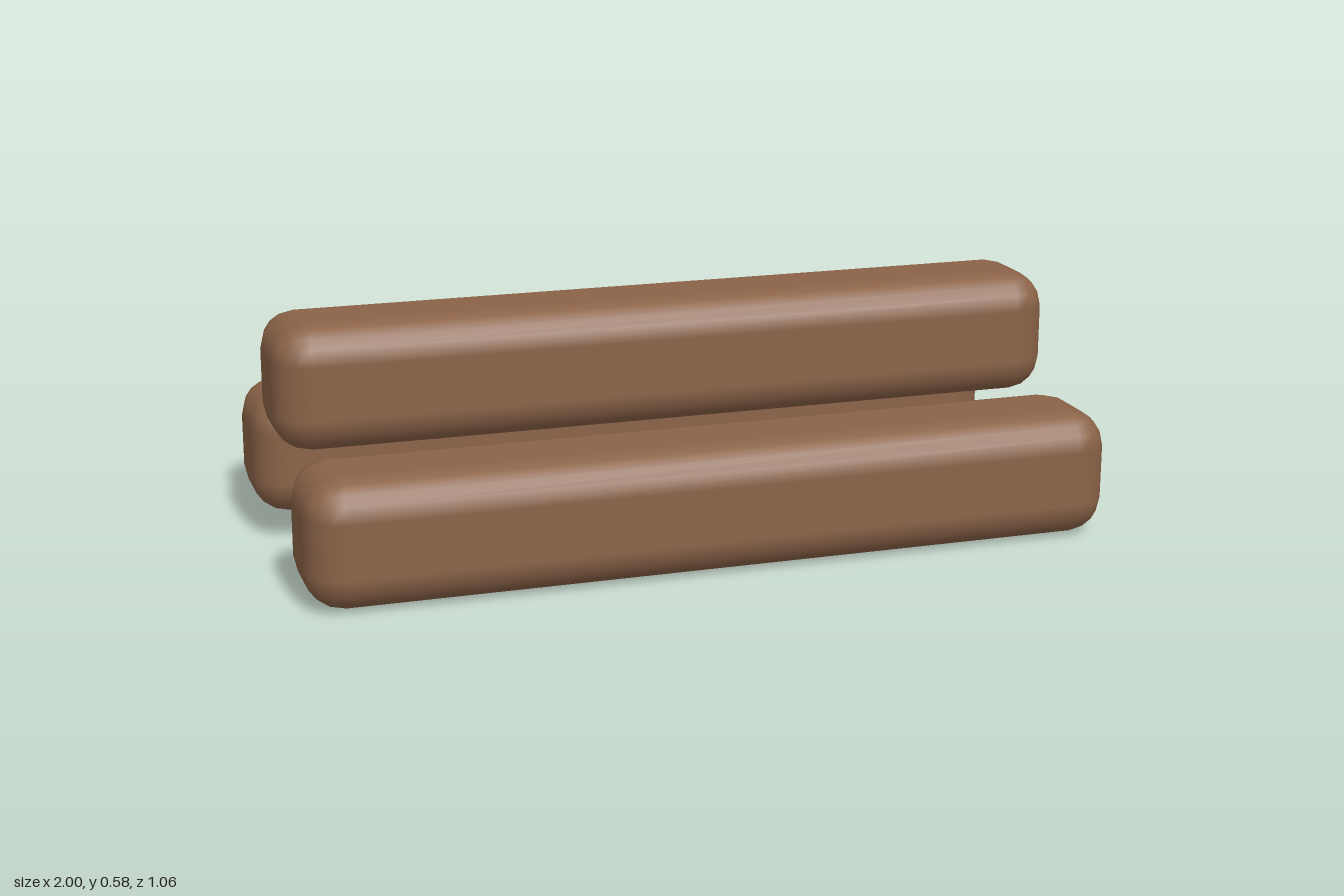
import * as THREE from 'three';
import { RoundedBoxGeometry } from 'three/addons/geometries/RoundedBoxGeometry.js';

export function createModel() {
  const group = new THREE.Group();
  group.name = 'beamStack';

  const wood = new THREE.MeshStandardMaterial({ color: 0x8b6348 });
  wood.name = 'brown wood';

  // One softly rounded square beam, shared by all three
  const beam = new RoundedBoxGeometry(2, 0.313, 0.313, 2, 0.09);

  const addBeam = (name, y, z) => {
    const mesh = new THREE.Mesh(beam, wood);
    mesh.name = name;
    mesh.position.set(0, y, z);
    group.add(mesh);
  };

  // Two beams on the ground, one raised between them
  addBeam('frontBeam', 0.158, 0.375);
  addBeam('backBeam', 0.158, -0.375);
  addBeam('topBeam', 0.428, 0);

  return group;
}
